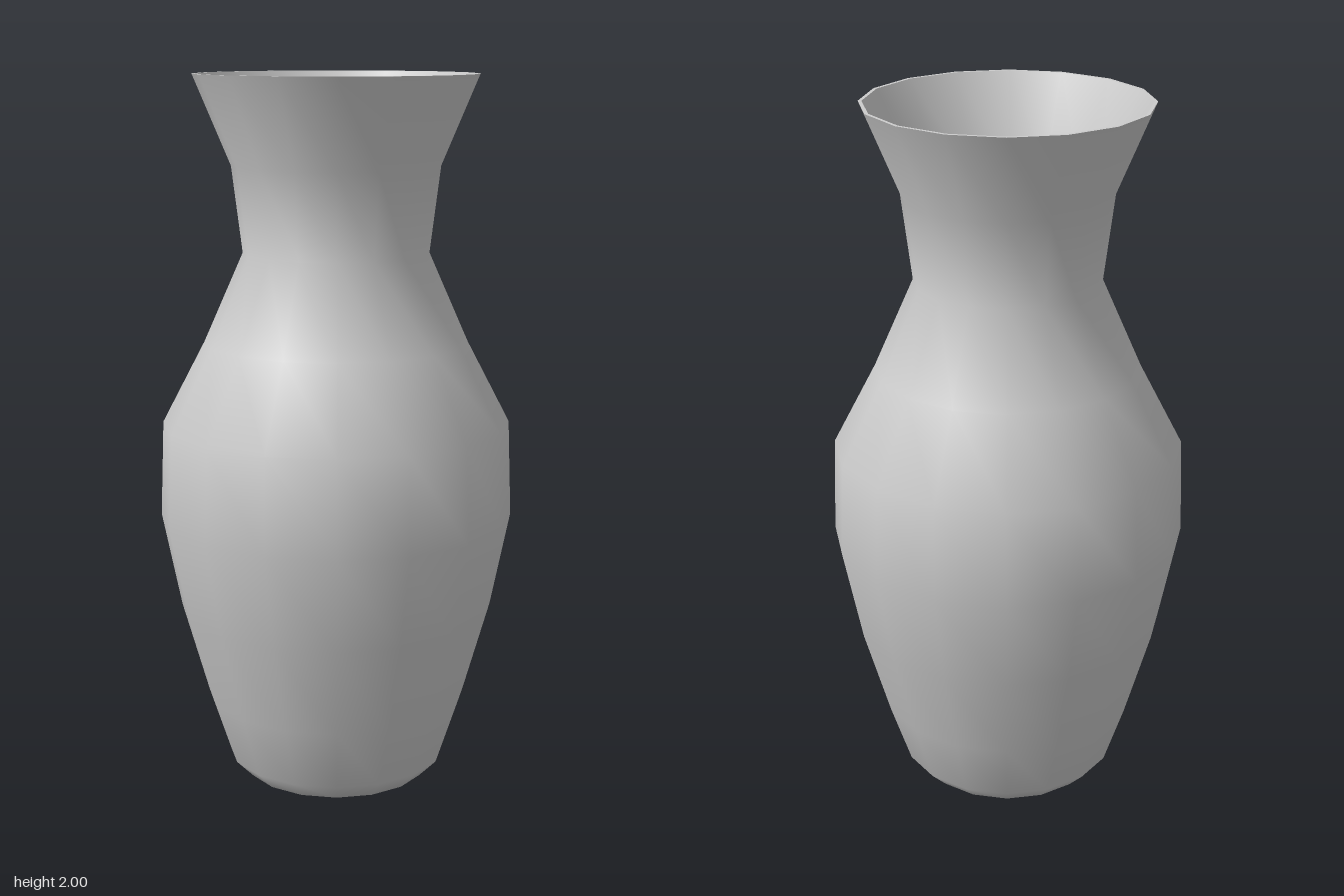
import * as THREE from 'three';

const SIDES = 16;

// Outer silhouette as [radius, height], from the base centre up to the lip
const OUTER = [
  [0, 0], [0.26, 0], [0.31, 0.05], [0.37, 0.23], [0.445, 0.49], [0.5, 0.76],
  [0.49, 1.03], [0.37, 1.26], [0.26, 1.51], [0.29, 1.75], [0.395, 2],
];

// Inner silhouette, from the lip down to the floor centre
const INNER = [
  [0.385, 2], [0.277, 1.75], [0.245, 1.51], [0.356, 1.26], [0.477, 1.03],
  [0.487, 0.76], [0.432, 0.49], [0.357, 0.23], [0.298, 0.06], [0.25, 0.015], [0, 0.015],
];

export function createModel() {
  const vase = new THREE.Group();
  vase.name = 'vase';
  const material = new THREE.MeshStandardMaterial({ color: 0xcccccc });

  const addLathe = (name, profile) => {
    const points = profile.map(([r, y]) => new THREE.Vector2(r, y));
    const mesh = new THREE.Mesh(new THREE.LatheGeometry(points, SIDES), material);
    mesh.name = name;
    vase.add(mesh);
  };

  addLathe('outerWall', OUTER);
  addLathe('rim', [OUTER[OUTER.length - 1], INNER[0]]); // flat lip joining both walls
  addLathe('innerWall', INNER);

  return vase;
}
